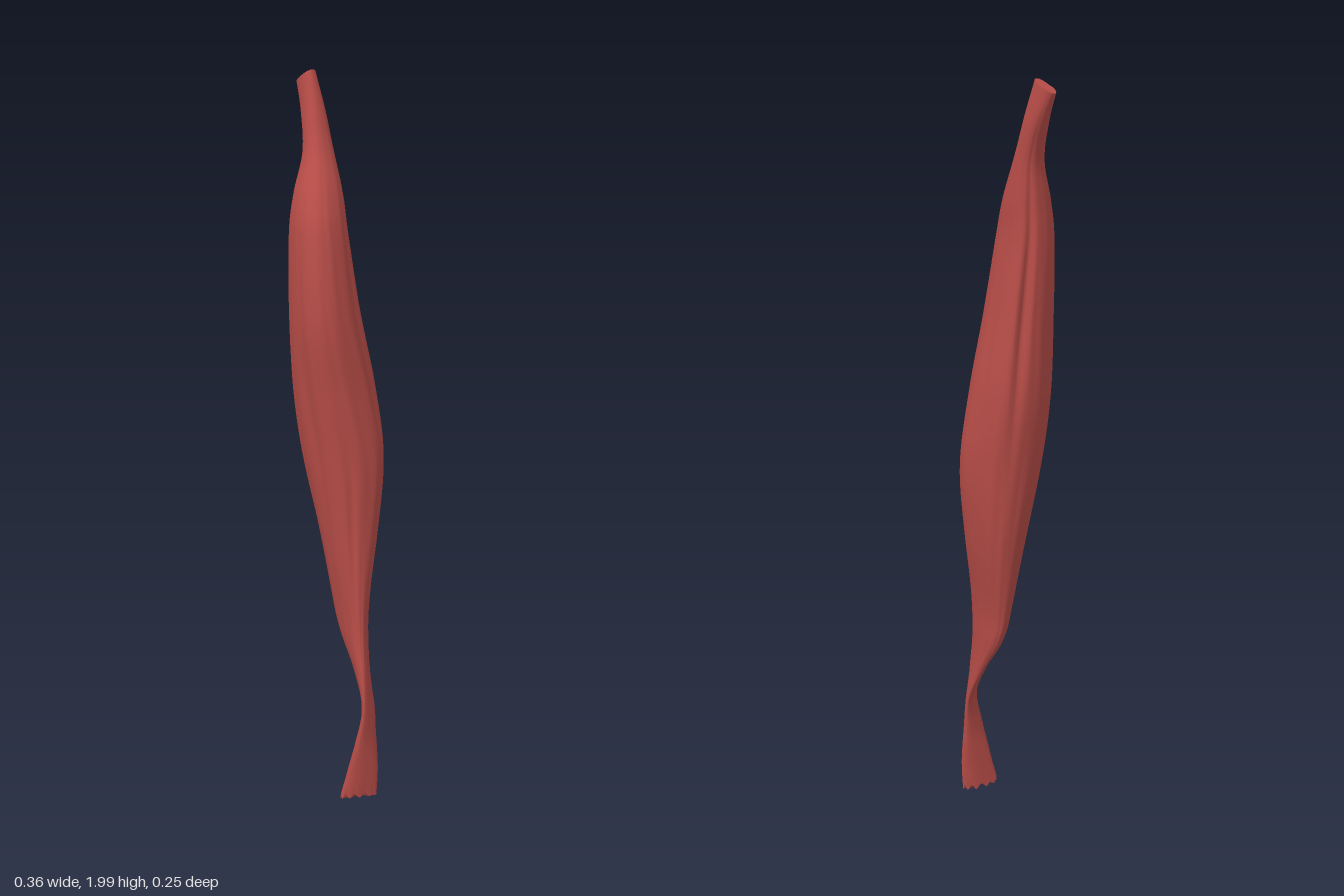
import * as THREE from 'three';

const SIDES = 72, RINGS = 120;

// Cross-sections from bottom to top: y, xMin, xMax, zMin, zMax, skew
const SECTIONS = [
  [0.02, 0.125, 0.17, -0.025, 0.075, -0.9],
  [0.10, 0.13, 0.175, -0.03, 0.062, -0.4],
  [0.20, 0.135, 0.177, -0.035, 0.05, 0.5],
  [0.30, 0.125, 0.178, -0.04, 0.034, 1.0],
  [0.40, 0.07, 0.165, -0.045, 0.03, 0.85],
  [0.50, 0.0, 0.147, -0.055, 0.03, 0.6],
  [0.60, -0.03, 0.14, -0.065, 0.035, 0.45],
  [0.80, -0.07, 0.132, -0.105, 0.055, 0.2],
  [1.00, -0.10, 0.13, -0.127, 0.085, 0.05],
  [1.20, -0.125, 0.118, -0.117, 0.112, 0.2],
  [1.40, -0.13, 0.107, -0.087, 0.13, 0.4],
  [1.60, -0.126, 0.07, -0.06, 0.117, 0.4],
  [1.70, -0.12, 0.03, -0.056, 0.09, 0.35],
  [1.80, -0.12, -0.03, -0.052, 0.04, 0.3],
  [1.90, -0.152, -0.075, -0.052, 0.015, 0.3],
  [1.98, -0.183, -0.112, -0.045, 0.0, 0.3],
];

// Lengthwise creases: angle, centre height, half length, depth, width
const CREASES = [
  [3.65, 1.45, 0.32, 0.16, 0.14],
  [1.35, 1.12, 0.25, 0.06, 0.16],
  [5.6, 1.25, 0.4, 0.07, 0.15],
  [0.5, 0.75, 0.3, 0.06, 0.15],
  [4.6, 0.8, 0.35, 0.05, 0.15],
];

const track = (a, b, c) => new THREE.CatmullRomCurve3(
  SECTIONS.map(s => new THREE.Vector3(s[a], s[b], s[c])), false, 'catmullrom', 0.5);
const xTrack = track(1, 0, 2), zTrack = track(3, 5, 4);
const soften = v => Math.sign(v) * Math.abs(v) ** 0.9;

// Point on the muscle: u runs bottom to top, t runs around
function surfacePoint(u, t) {
  const a = xTrack.getPoint(u), b = zTrack.getPoint(u);
  let y = a.y;
  let r = 1;
  for (const [angle, height, length, depth, width] of CREASES) {
    const d = Math.atan2(Math.sin(t - angle), Math.cos(t - angle));
    r -= depth * Math.exp(-((d / width) ** 2) - ((y - height) / length) ** 2);
  }
  // fine twisting fibres, fading towards both tendons
  const belly = Math.sin(Math.PI * u);
  r += 0.01 * belly * (Math.sin(13 * t + 5 * y) + 0.6 * Math.sin(22 * t - 7 * y) - 1);
  // slanted top end and frayed bottom end
  y += 0.02 * Math.cos(t) * Math.max(0, (u - 0.9) * 10);
  y += (0.007 * Math.sin(11 * t) + 0.007 * Math.sin(t) + 0.002) * Math.max(0, 1 - u * 20);
  return [
    (a.x + a.z) / 2 + (a.z - a.x) / 2 * r * soften(Math.cos(t)),
    Math.max(0, y),
    (b.x + b.z) / 2 + (b.z - b.x) / 2 * r * soften(Math.sin(t + b.y)),
  ];
}

function build(positions, index) {
  const g = new THREE.BufferGeometry();
  g.setAttribute('position', new THREE.Float32BufferAttribute(positions, 3));
  g.setIndex(index);
  g.computeVertexNormals();
  return g;
}

function bodyGeometry() {
  const pos = [], idx = [];
  for (let i = 0; i <= RINGS; i++) {
    for (let j = 0; j < SIDES; j++) {
      pos.push(...surfacePoint(i / RINGS, j / SIDES * Math.PI * 2));
      if (i === RINGS) continue;
      const a = i * SIDES + j, b = i * SIDES + (j + 1) % SIDES;
      idx.push(a, a + SIDES, b, b, a + SIDES, b + SIDES);
    }
  }
  return build(pos, idx);
}

// Fan closing one end of the muscle
function endGeometry(u) {
  const pos = [0, 0, 0], idx = [];
  for (let j = 0; j < SIDES; j++) {
    const p = surfacePoint(u, j / SIDES * Math.PI * 2);
    pos.push(...p);
    p.forEach((v, k) => { pos[k] += v / SIDES; });
    const a = j + 1, b = (j + 1) % SIDES + 1;
    idx.push(0, ...(u ? [b, a] : [a, b]));
  }
  return build(pos, idx);
}

export function createModel() {
  const group = new THREE.Group();
  group.name = 'muscle';
  const muscleRed = new THREE.MeshStandardMaterial({ color: 0xb64c47 });
  muscleRed.name = 'muscle red';
  const add = (name, geometry) => {
    const mesh = new THREE.Mesh(geometry, muscleRed);
    mesh.name = name;
    group.add(mesh);
  };
  add('muscleBelly', bodyGeometry());
  add('lowerTendonEnd', endGeometry(0));
  add('upperTendonEnd', endGeometry(1));
  return group;
}
